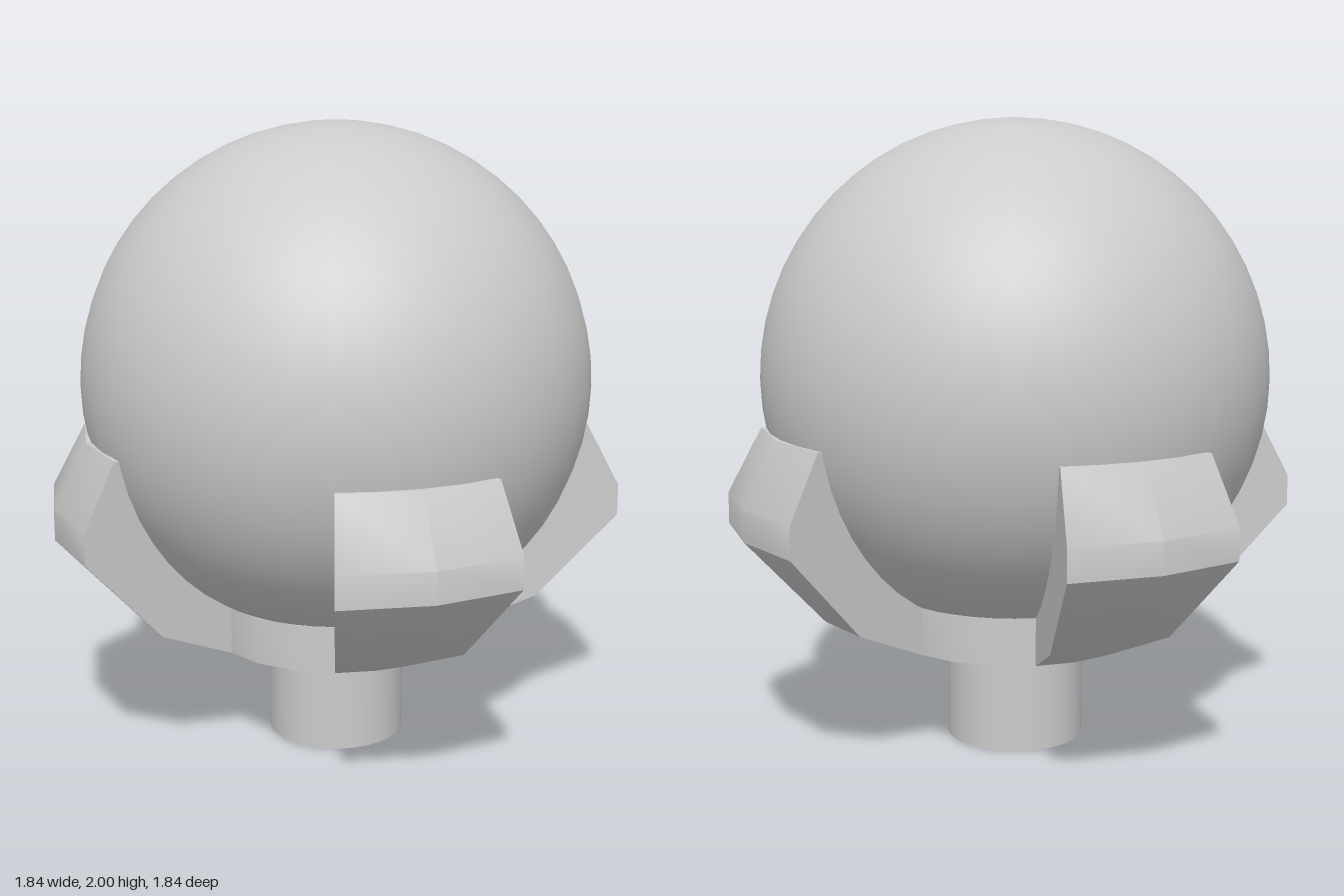
import * as THREE from 'three';
import { mergeGeometries, toCreasedNormals } from 'three/addons/utils/BufferGeometryUtils.js';

const CREASE = Math.PI / 6;
const material = new THREE.MeshStandardMaterial({ color: 0xcccccc });
const toPoints = (list) => list.map(([r, y]) => new THREE.Vector2(r, y));

function addMesh(parent, name, geometry) {
  const mesh = new THREE.Mesh(geometry, material);
  mesh.name = name;
  parent.add(mesh);
  return mesh;
}

// Flat end of a wedge, standing in the radial plane at angle phi
function endCap(profile, phi, flip) {
  const cap = new THREE.ShapeGeometry(new THREE.Shape(profile));
  if (flip) {
    cap.setIndex(Array.from(cap.index.array).reverse());
    cap.scale(1, 1, 1);
  }
  return cap.rotateY(phi - Math.PI / 2);
}

// Two-sided wedge swept around the axis, closed at both ends
function clawGeometry() {
  const outline = toPoints([
    [0.41, 0.34], [0.66, 0.45], [0.918, 0.73], [0.918, 0.83],
    [0.81, 1.035], [0.775, 1.035], [0.6, 0.7], [0.38, 0.47],
  ]);
  const half = Math.PI / 10;
  const sweep = new THREE.LatheGeometry([...outline, outline[0].clone()], 2, -half, 2 * half);
  const parts = [sweep, endCap(outline, -half, false), endCap(outline, half, true)];
  return toCreasedNormals(mergeGeometries(parts), CREASE);
}

export function createModel() {
  const model = new THREE.Group();
  model.name = 'ballInClawMount';

  // Ball
  addMesh(model, 'ball', new THREE.SphereGeometry(0.81, 40, 28)).position.y = 1.19;

  // Stem
  addMesh(model, 'stem', new THREE.CylinderGeometry(0.22, 0.22, 0.31, 32)).position.y = 0.155;

  // Shallow cup under the ball
  const cupProfile = toPoints([[0, 0.3], [0.22, 0.305], [0.41, 0.34], [0.41, 0.49], [0.3, 0.49]]);
  addMesh(model, 'cup', toCreasedNormals(new THREE.LatheGeometry(cupProfile, 20), CREASE));

  // Four claws gripping the ball
  const claws = new THREE.Group();
  claws.name = 'claws';
  const claw = clawGeometry();
  ['front', 'left', 'back', 'right'].forEach((side, i) => {
    addMesh(claws, `${side}Claw`, claw).rotation.y = (i * Math.PI) / 2;
  });
  model.add(claws);

  return model;
}
